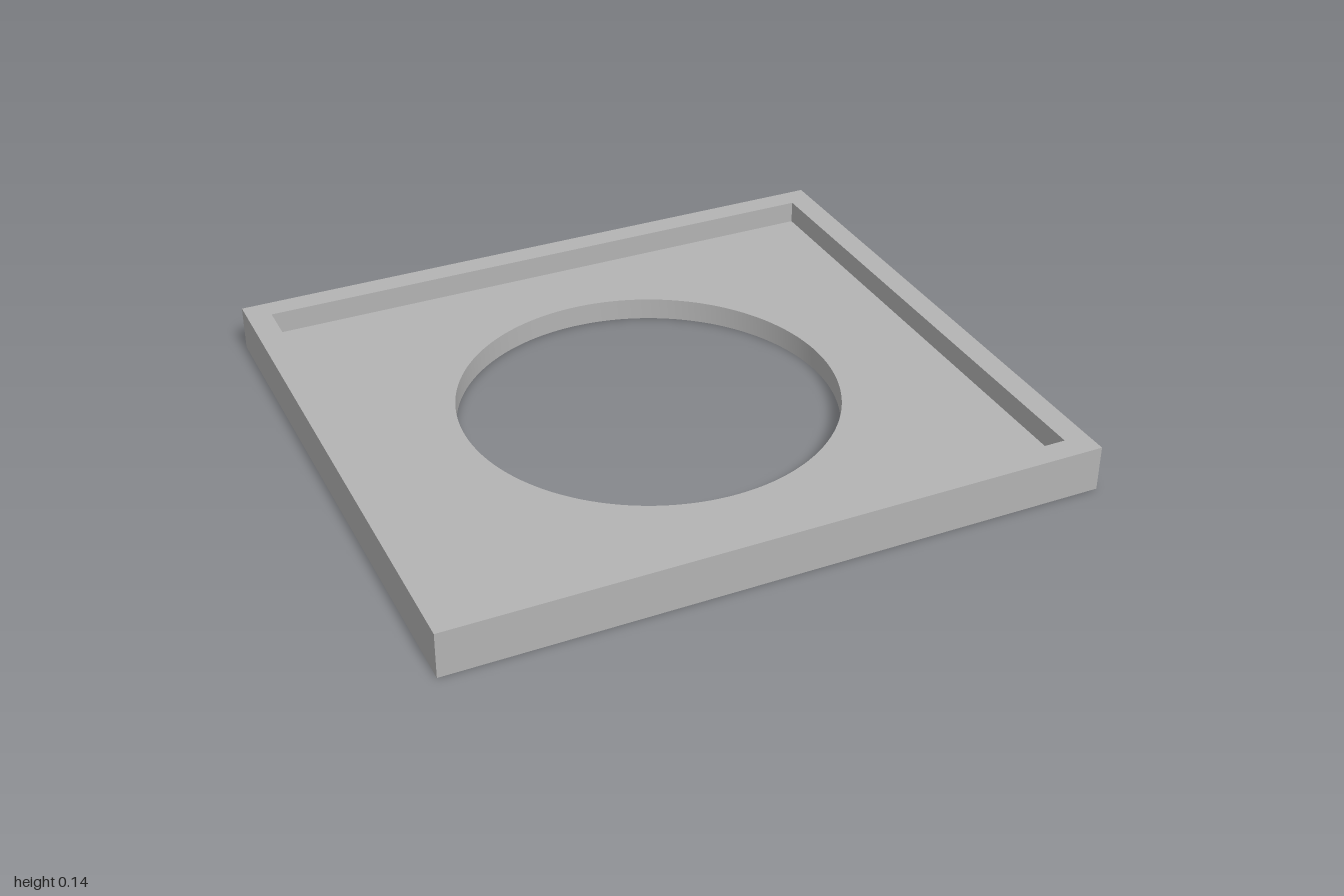
import * as THREE from 'three';
import { toCreasedNormals } from 'three/addons/utils/BufferGeometryUtils.js';

const HALF_X = 1, HALF_Z = 0.896, LIP = 0.075;
const FLOOR = 0.07, HEIGHT = 0.141, HOLE_RADIUS = 0.58;

// Traces a centred rectangle on a Shape or Path
function rectangle(path, hx, hz) {
  path.moveTo(-hx, -hz);
  path.lineTo(hx, -hz);
  path.lineTo(hx, hz);
  path.lineTo(-hx, hz);
  path.closePath();
  return path;
}

// Rectangular slab with an opening, lying flat from y0 to y1
function slab(name, hole, y0, y1, material) {
  const shape = rectangle(new THREE.Shape(), HALF_X, HALF_Z);
  shape.holes.push(hole);
  const extruded = new THREE.ExtrudeGeometry(shape, {
    depth: y1 - y0, bevelEnabled: false, curveSegments: 96,
  });
  extruded.rotateX(-Math.PI / 2).translate(0, y0, 0);
  const mesh = new THREE.Mesh(toCreasedNormals(extruded, Math.PI / 6), material);
  mesh.name = name;
  return mesh;
}

export function createModel() {
  const group = new THREE.Group();
  group.name = 'recessedPlate';
  const grey = new THREE.MeshStandardMaterial({ color: 0xb3b3b3 });
  grey.name = 'grey';

  // Base plate with the round opening
  const roundHole = new THREE.Path().absarc(0, 0, HOLE_RADIUS, 0, Math.PI * 2, true);
  group.add(slab('basePlate', roundHole, 0, FLOOR, grey));

  // Raised lip around the edge
  const recess = rectangle(new THREE.Path(), HALF_X - LIP, HALF_Z - LIP);
  group.add(slab('raisedLip', recess, FLOOR, HEIGHT, grey));

  return group;
}
